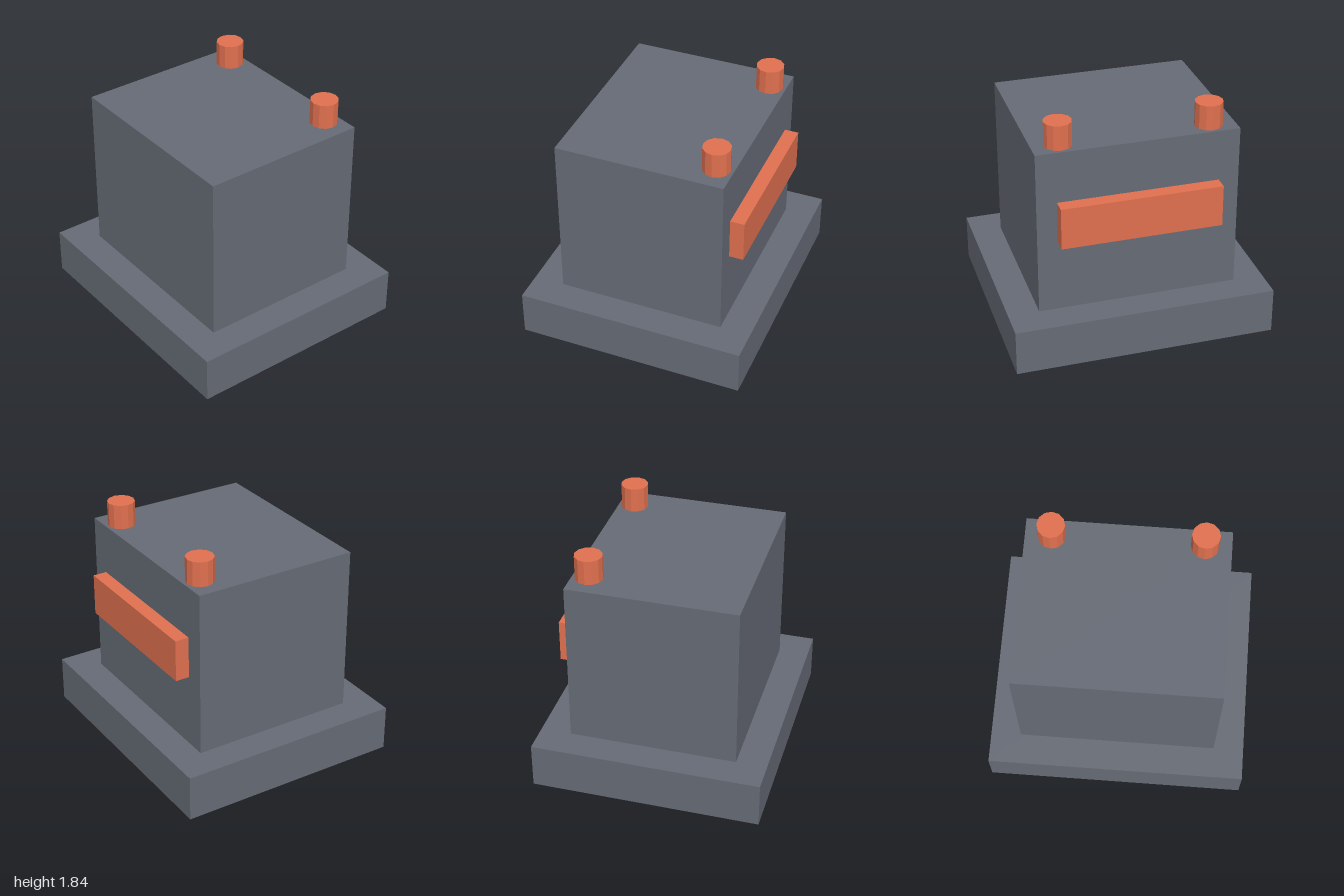
import * as THREE from 'three';

const grey = new THREE.MeshStandardMaterial({ color: 0x666b75, flatShading: true });
const orange = new THREE.MeshStandardMaterial({ color: 0xe0704f, flatShading: true });

export function createModel() {
  const model = new THREE.Group();

  function add(name, geometry, material, x, y, z) {
    const mesh = new THREE.Mesh(geometry, material);
    mesh.name = name;
    mesh.position.set(x, y, z);
    model.add(mesh);
  }

  // Wide plinth and main block
  const baseTop = 0.355, bodyTop = 1.645;
  const bodyHeight = bodyTop - baseTop;
  add('base', new THREE.BoxGeometry(2, baseTop, 1.76), grey, 0, baseTop / 2, 0);
  add('body', new THREE.BoxGeometry(1.53, bodyHeight, 1.29), grey, 0, baseTop + bodyHeight / 2, 0);

  // Raised bar across the back
  add('backBar', new THREE.BoxGeometry(1.224, 0.325, 0.108), orange, 0, 1.085, -0.699);

  // Pair of pegs at the back of the top
  const pegHeight = 0.19;
  const peg = new THREE.CylinderGeometry(0.105, 0.105, pegHeight, 12);
  for (const [name, side] of [['leftPeg', 1], ['rightPeg', -1]]) {
    add(name, peg, orange, side * 0.565, bodyTop + pegHeight / 2, -0.518);
  }

  return model;
}
